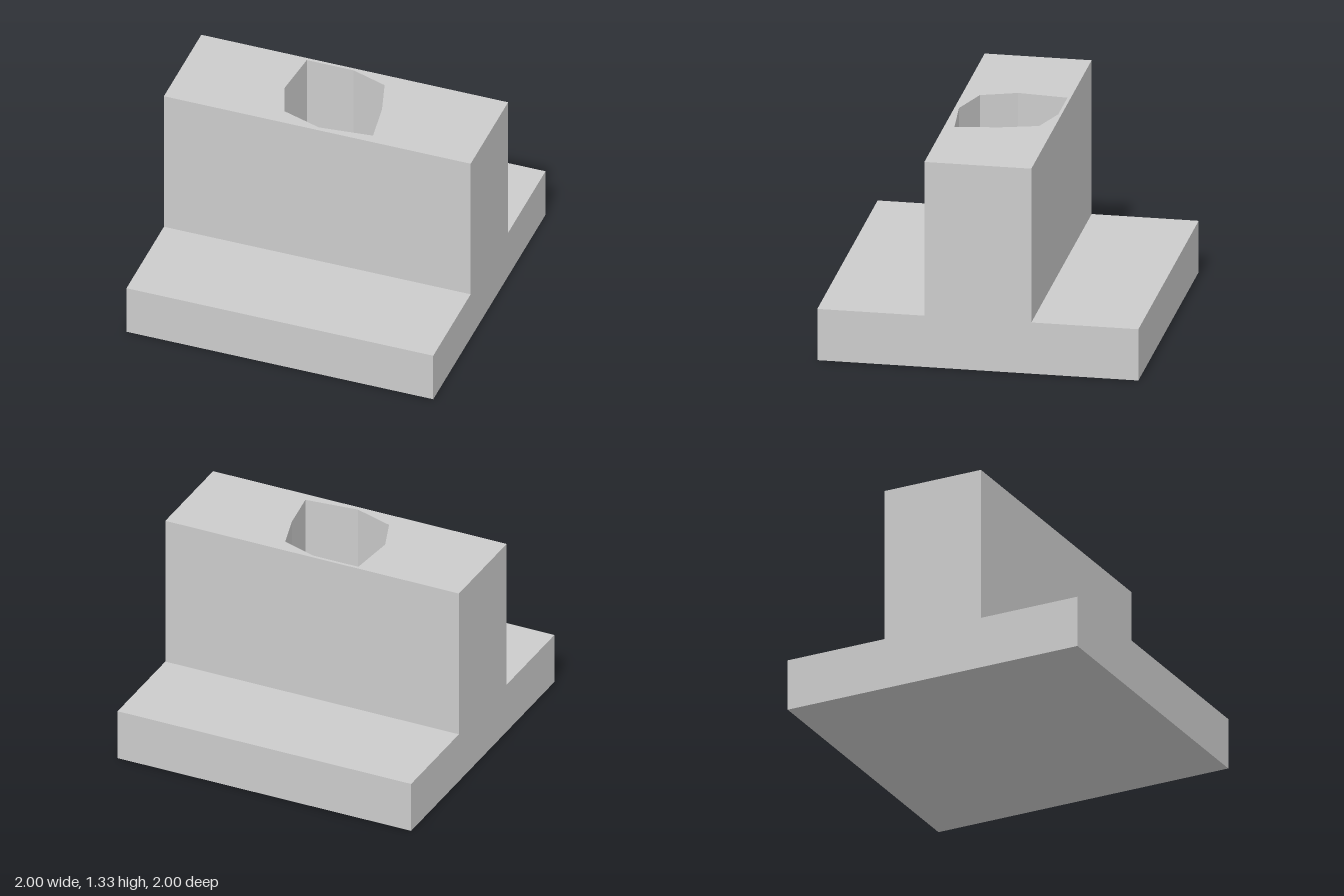
import * as THREE from 'three';

const BASE_HEIGHT = 1 / 3;
const WALL_HEIGHT = 1;
const WALL_HALF_DEPTH = 1 / 3;

// Uneven eight-sided socket outline, as [x, z]
const SOCKET = [
  [-0.305, -0.313], [0, -0.313], [0.23, -0.237], [0.3, 0],
  [0.34, 0.27], [0, 0.305], [-0.253, 0.223], [-0.335, 0],
];

export function createModel() {
  const group = new THREE.Group();
  group.name = 'slottedBlock';
  const material = new THREE.MeshStandardMaterial({ color: 0xcccccc, flatShading: true });

  // Square base slab; its top is also the floor of the socket
  const base = new THREE.Mesh(new THREE.BoxGeometry(2, BASE_HEIGHT, 2), material);
  base.name = 'base';
  base.position.y = BASE_HEIGHT / 2;
  group.add(base);

  // Upright wall, pierced from its top down to the base
  const d = WALL_HALF_DEPTH;
  const outline = new THREE.Shape(
    [[-1, -d], [1, -d], [1, d], [-1, d]].map(([x, y]) => new THREE.Vector2(x, y)));
  outline.holes.push(new THREE.Path(SOCKET.map(([x, z]) => new THREE.Vector2(x, -z))));
  const wallGeometry = new THREE.ExtrudeGeometry(outline, { depth: WALL_HEIGHT, bevelEnabled: false });
  wallGeometry.rotateX(-Math.PI / 2);
  const wall = new THREE.Mesh(wallGeometry, material);
  wall.name = 'socketedWall';
  wall.position.y = BASE_HEIGHT;
  group.add(wall);

  return group;
}
